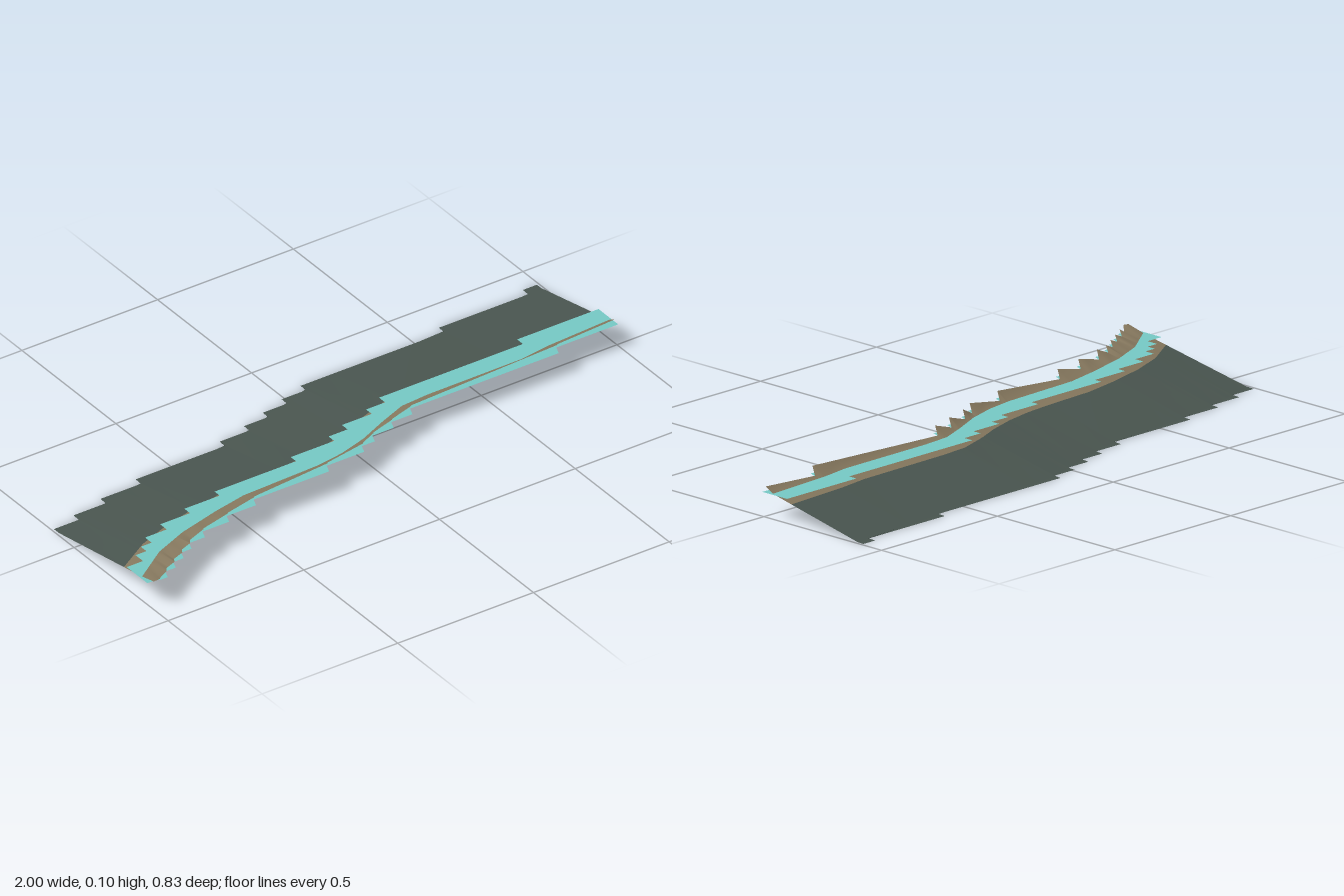
import * as THREE from 'three';

const WATER_Y = 0.077;
const HALF = 0.992;

// piecewise-linear lookup; rows are [x, value, ...]
function lerpAt(rows, x, k = 1) {
  if (x <= rows[0][0]) return rows[0][k];
  for (let i = 1; i < rows.length; i++) {
    const a = rows[i - 1], b = rows[i];
    if (x <= b[0]) return a[k] + (b[k] - a[k]) * (x - a[0]) / (b[0] - a[0]);
  }
  return rows[rows.length - 1][k];
}

// turns runs [xEnd, z] into corner points of a stair line
function stairs(runs, x0, gap) {
  const out = [[x0, runs[0][1]]];
  runs.forEach(([x, z], i) => {
    out.push([x, z]);
    if (i < runs.length - 1) out.push([x + gap, runs[i + 1][1]]);
  });
  return out;
}

// foot of the slope, and the line where the bank leaves the water
const foot = [[-0.992, -0.09], [-0.9, -0.12], [-0.78, -0.15], [-0.63, -0.18], [-0.3, -0.21], [-0.19, -0.24],
  [-0.1, -0.27], [-0.01, -0.3], [0.08, -0.33], [0.61, -0.36], [0.94, -0.386], [0.992, -0.39]];
const shore = [[-0.992, 0.35], [-0.87, 0.265], [-0.75, 0.215], [-0.6, 0.175], [-0.48, 0.15], [-0.2, 0.14],
  [-0.1, 0.125], [0, 0.095], [0.1, 0.05], [0.2, 0.01], [0.3, 0.002], [0.65, 0], [0.75, -0.015], [0.992, -0.03]];

// stepped back edge: each run reaches back to the foot at its far end
const back = stairs(foot.slice(1).map(([x], i) => [x, i === 10 ? -0.415 : -0.12 - 0.0295 * i]), -HALF, 0.001);

// stepped front edge: the crest climbs along each run, then drops at the step
const frontRuns = [-0.97, -0.93, -0.88, -0.83, -0.78, -0.71, -0.6, -0.48, -0.19, -0.04, 0.02, 0.11, 0.2, 0.76, HALF]
  .map((x, i) => [x, i === 0 ? 0.413 : 0.42 - 0.03 * i]);
const front = stairs(frontRuns, -HALF, 0.02);
const crest = front.map(([x], i) => {
  if (i === 0) return [x, 0.092];
  if (i % 2 === 0) return [x, 0.082];
  const run = x - front[i - 1][0];
  return [x, x > 0.9 ? 0.094 : run < 0.04 ? 0.094 : 0.103];
});

// loft of cross-sections along x; section(x) gives [z, y] points
function loft(xs, section) {
  const pos = [], idx = [];
  let n = 0;
  xs.forEach((x) => {
    const pts = section(x);
    n = pts.length;
    pts.forEach(([z, y]) => pos.push(x, y, z));
  });
  for (let i = 0; i < xs.length - 1; i++) {
    for (let j = 0; j < n - 1; j++) {
      const a = i * n + j, b = a + n;
      idx.push(a, a + 1, b, b, a + 1, b + 1);
    }
  }
  const g = new THREE.BufferGeometry();
  g.setAttribute('position', new THREE.Float32BufferAttribute(pos, 3));
  g.setIndex(idx);
  g.computeVertexNormals();
  return g;
}

export function createModel() {
  const group = new THREE.Group();
  group.name = 'riverBank';
  const material = (name, color) => {
    const m = new THREE.MeshStandardMaterial({ color, side: THREE.DoubleSide });
    m.name = name;
    return m;
  };
  const add = (name, geometry, mat) => {
    const mesh = new THREE.Mesh(geometry, mat);
    mesh.name = name;
    group.add(mesh);
  };

  const xs = [...new Set([foot, shore, back, front].flat().map((p) => p[0]))].sort((a, b) => a - b);
  const split = 0.78;
  const seam = (x) => {
    const f = lerpAt(foot, x);
    return [f + (lerpAt(shore, x) - f) * split, WATER_Y * split];
  };

  // sloping bed with a flat stepped lip at the back
  add('slateBed', loft(xs, (x) => [
    [lerpAt(back, x), 0], [lerpAt(foot, x), 0.001], seam(x),
  ]), material('slate', 0x4a5650));

  // earth bank rising out of the water to a jagged crest
  add('earthBank', loft(xs, (x) => [
    seam(x), [lerpAt(shore, x), WATER_Y], [lerpAt(front, x), lerpAt(crest, x)],
  ]), material('earth', 0x87795f));

  // flat water sheet with stepped edges on both sides
  const waterBack = stairs([[-0.94, 0.28], [-0.9, 0.24], [-0.86, 0.21], [-0.78, 0.175], [-0.67, 0.14], [-0.54, 0.11],
    [-0.24, 0.083], [-0.08, 0.055], [-0.01, 0.025], [0.1, -0.005], [0.17, -0.035], [0.7, -0.067], [1, -0.098]], -1, 0);
  const waterFront = stairs(frontRuns.map(([x, z], i) => [i === 14 ? 1 : x, i === 0 ? 0.39 : z + 0.007]), -1, 0.012);
  const outline = [...waterBack, ...waterFront.reverse()].map(([x, z]) => new THREE.Vector2(x, -z));
  const water = new THREE.ShapeGeometry(new THREE.Shape(outline));
  water.rotateX(-Math.PI / 2);
  water.translate(0, WATER_Y, 0);
  add('waterSheet', water, material('water', 0x76cac6));

  return group;
}
